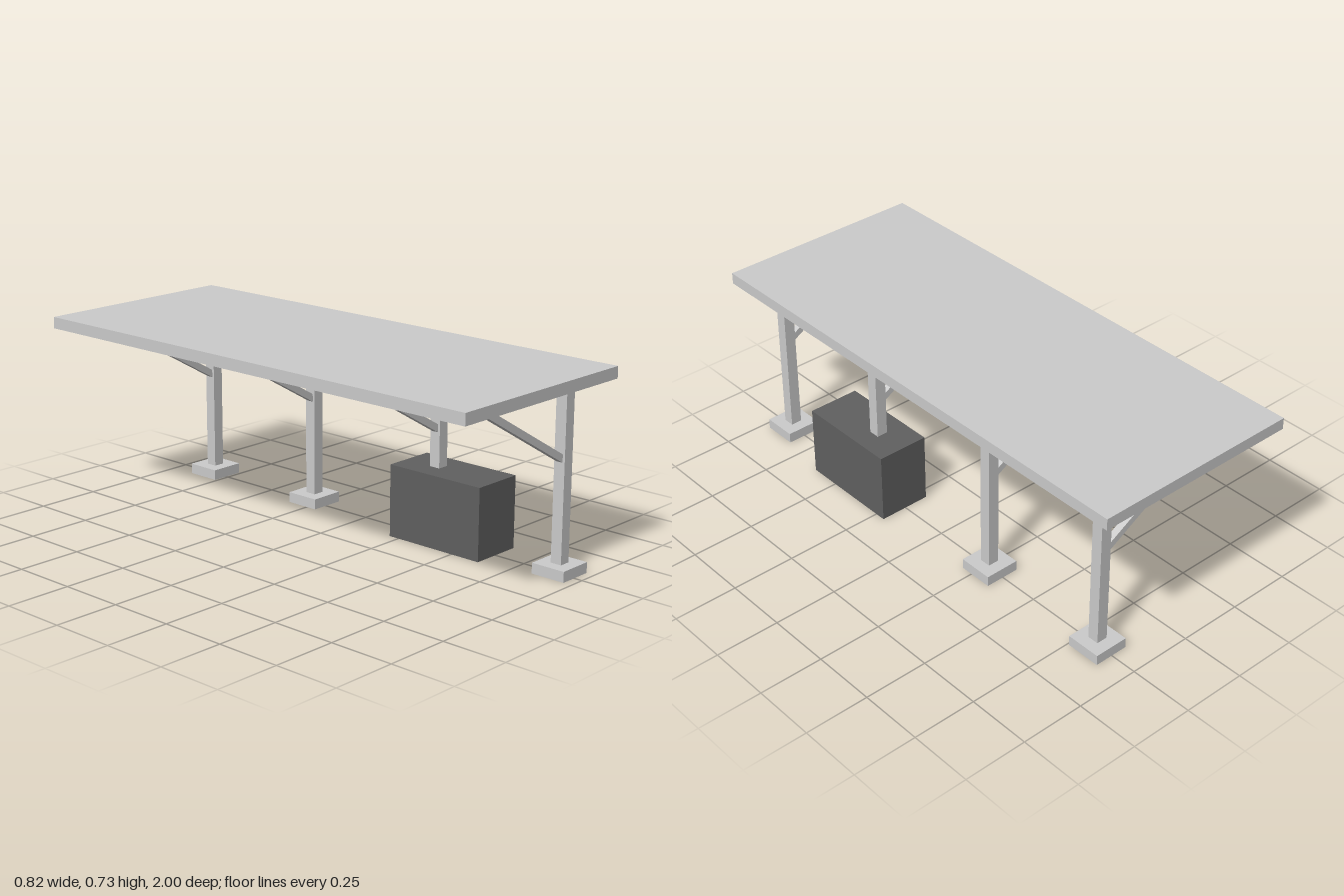
import * as THREE from 'three';

export function createModel() {
  const model = new THREE.Group();
  model.name = 'shelter';
  const grey = new THREE.MeshStandardMaterial({ color: 0xcccccc });
  const dark = new THREE.MeshStandardMaterial({ color: 0x606060 });

  // Box given by its size and centre
  const box = (name, [w, h, d], [x, y, z], material = grey, parent = model) => {
    const mesh = new THREE.Mesh(new THREE.BoxGeometry(w, h, d), material);
    mesh.name = name;
    mesh.position.set(x, y, z);
    parent.add(mesh);
    return mesh;
  };

  // Flat canopy
  box('roof', [0.824, 0.044, 2], [0, 0.711, 0]);

  // Row of supports: footing, post and a diagonal brace up to the roof
  const postX = 0.254;
  const tilt = Math.PI / 6;
  const reach = 0.48; // horizontal run of the brace
  for (const z of [0.9, 0.348, -0.272, -0.826]) {
    const support = new THREE.Group();
    support.name = 'support';
    support.position.set(postX, 0, z);
    box('footing', [0.136, 0.04, 0.136], [0, 0.021, 0], grey, support);
    box('post', [0.044, 0.641, 0.044], [0, 0.3605, 0], grey, support);
    const brace = box('brace', [reach / Math.cos(tilt), 0.026, 0.026],
      [-reach / 2, 0.413 + (reach / 2) * Math.tan(tilt), 0], grey, support);
    brace.rotation.z = -tilt;
    model.add(support);
  }

  // Dark cabinet around the foot of the second post
  box('cabinet', [0.206, 0.276, 0.414], [0.253, 0.138, 0.415], dark);

  return model;
}
